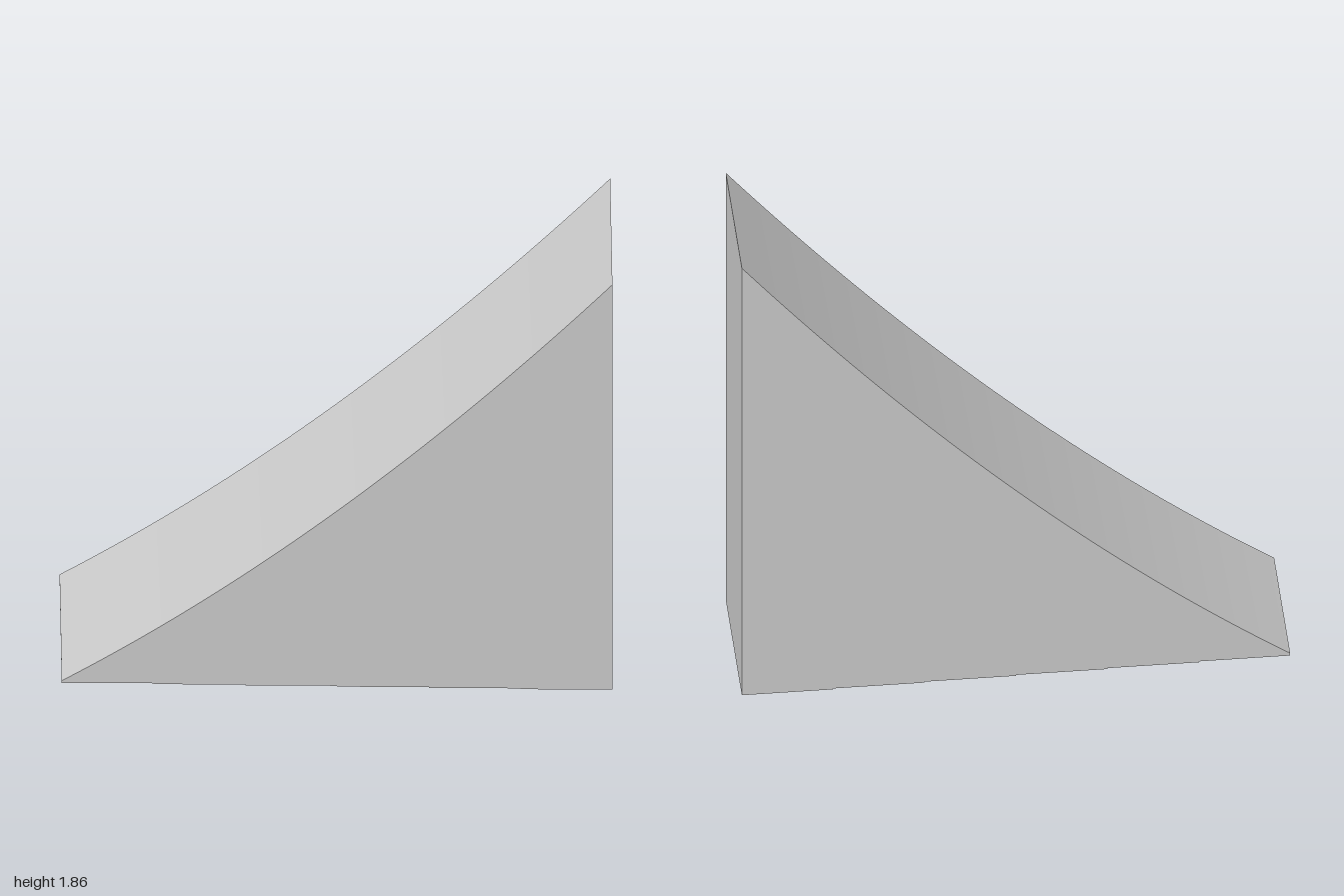
import * as THREE from 'three';
import { toCreasedNormals } from 'three/addons/utils/BufferGeometryUtils.js';

const WIDTH = 0.63;      // extent along z
const SEGMENTS = 64;     // along the curved slope
const PANELS = 6;        // shallow steps of the underside

// Height of the gently concave slope
const slopeHeight = (x) => 0.83 + 0.9 * x + 0.13 * x * x;

function rampProfile() {
  const shape = new THREE.Shape();
  const drop = 0.005, step = 0.004;

  // Underside: slightly tilted panels, each a small step below the last
  let y = PANELS * drop + (PANELS - 1) * step;
  shape.moveTo(-1, y);
  for (let i = 1; i <= PANELS; i++) {
    const x = -1 + (2 * i) / PANELS;
    y -= drop;
    shape.lineTo(x, Math.max(y, 0));
    if (i < PANELS) {
      y -= step;
      shape.lineTo(x, y);
    }
  }

  // Upright end, then back down the curved slope to the thin toe
  for (let i = SEGMENTS; i >= 0; i--) {
    const x = -1 + (2 * i) / SEGMENTS;
    shape.lineTo(x, slopeHeight(x));
  }
  shape.closePath();
  return shape;
}

export function createModel() {
  const group = new THREE.Group();
  group.name = 'curvedRamp';

  // Solid wedge swept across the width
  const geometry = new THREE.ExtrudeGeometry(rampProfile(), { depth: WIDTH, bevelEnabled: false });
  geometry.translate(0, 0, -WIDTH / 2);

  const ramp = new THREE.Mesh(
    toCreasedNormals(geometry, 0.3),
    new THREE.MeshStandardMaterial({ color: 0xcccccc })
  );
  ramp.name = 'rampBody';
  group.add(ramp);
  return group;
}
